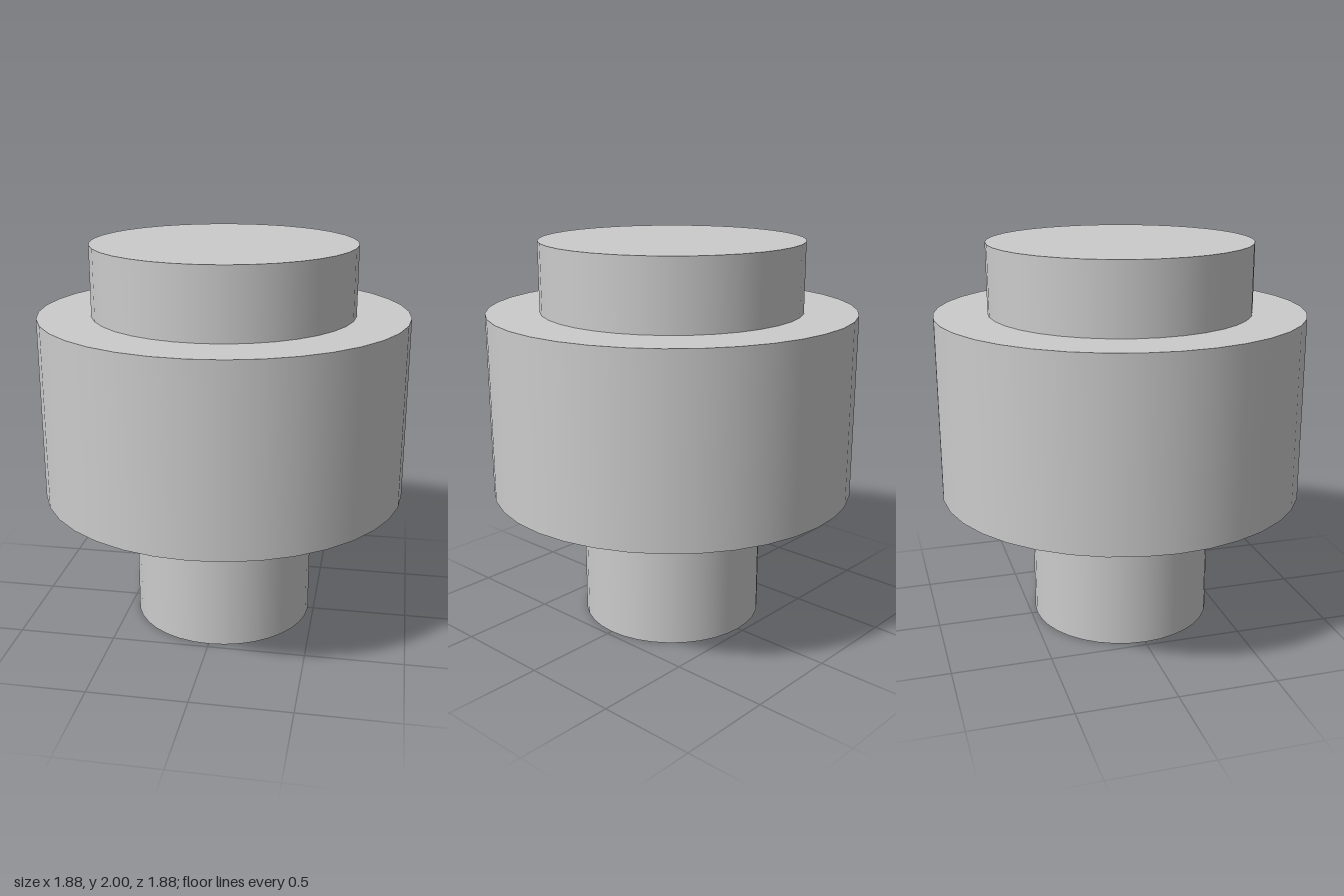
import * as THREE from 'three';

export function createModel() {
  const model = new THREE.Group();
  const material = new THREE.MeshStandardMaterial({ color: 0xcccccc });

  // Upright cylinder spanning bottom to top
  const addCylinder = (name, radius, bottom, top) => {
    const mesh = new THREE.Mesh(
      new THREE.CylinderGeometry(radius, radius, top - bottom, 36),
      material
    );
    mesh.name = name;
    mesh.position.y = (bottom + top) / 2;
    model.add(mesh);
  };

  // Narrow stem, wide body and shallow cap, stacked on one axis
  addCylinder('stem', 0.47, 0, 0.706);
  addCylinder('body', 0.941, 0.706, 1.647);
  addCylinder('cap', 0.67, 1.647, 2);

  return model;
}
